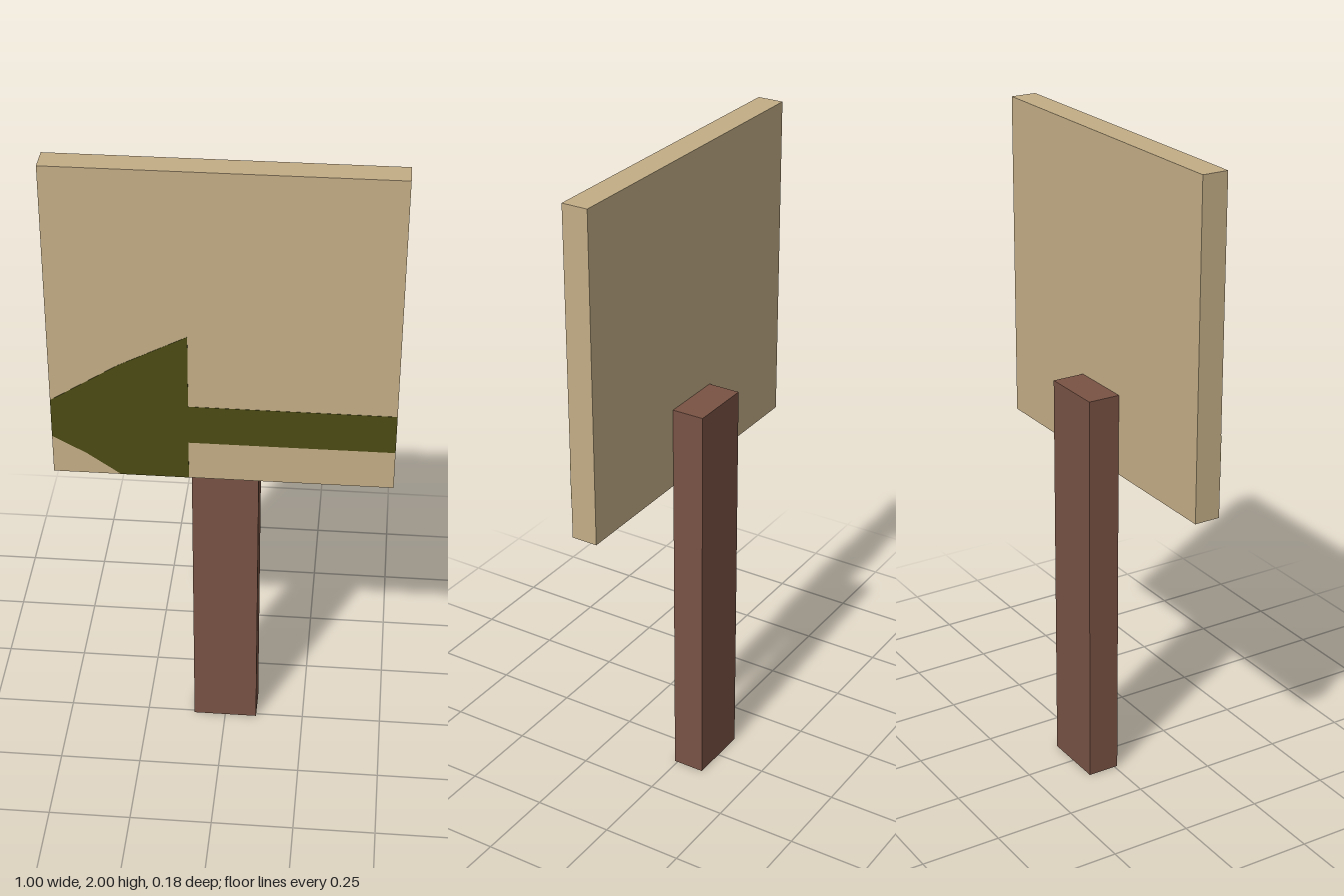
import * as THREE from 'three';

const mat = (color) => new THREE.MeshStandardMaterial({ color });

function addPart(group, name, geometry, color, x, y, z) {
  const mesh = new THREE.Mesh(geometry, mat(color));
  mesh.name = name;
  mesh.position.set(x, y, z);
  group.add(mesh);
}

export function createModel() {
  const sign = new THREE.Group();
  sign.name = 'signpost';

  // Upright post, overlapping the lower back of the board
  addPart(sign, 'post', new THREE.BoxGeometry(0.2, 1.25, 0.1), 0x795344, 0, 0.625, -0.04);

  // Square board fixed to the front of the post
  addPart(sign, 'board', new THREE.BoxGeometry(1, 1, 0.08), 0xc4ae87, 0, 1.5, 0.05);

  // Thin arrow inlaid in the board, its face just proud of the surface
  const outline = [
    [0.5, 1.125], [0.5, 1.25], [-0.1, 1.25], [-0.1, 1.485], [-0.3, 1.38],
    [-0.5, 1.25], [-0.5, 1.125], [-0.4, 1.07], [-0.3, 1.0], [-0.1, 1.0], [-0.1, 1.125],
  ].map(([x, y]) => new THREE.Vector2(x * 0.9995, Math.max(y, 1.0005)));
  const arrow = new THREE.ExtrudeGeometry(new THREE.Shape(outline), { depth: 0.011, bevelEnabled: false });
  addPart(sign, 'arrow', arrow, 0x4b4b14, 0, 0, 0.08);

  return sign;
}
